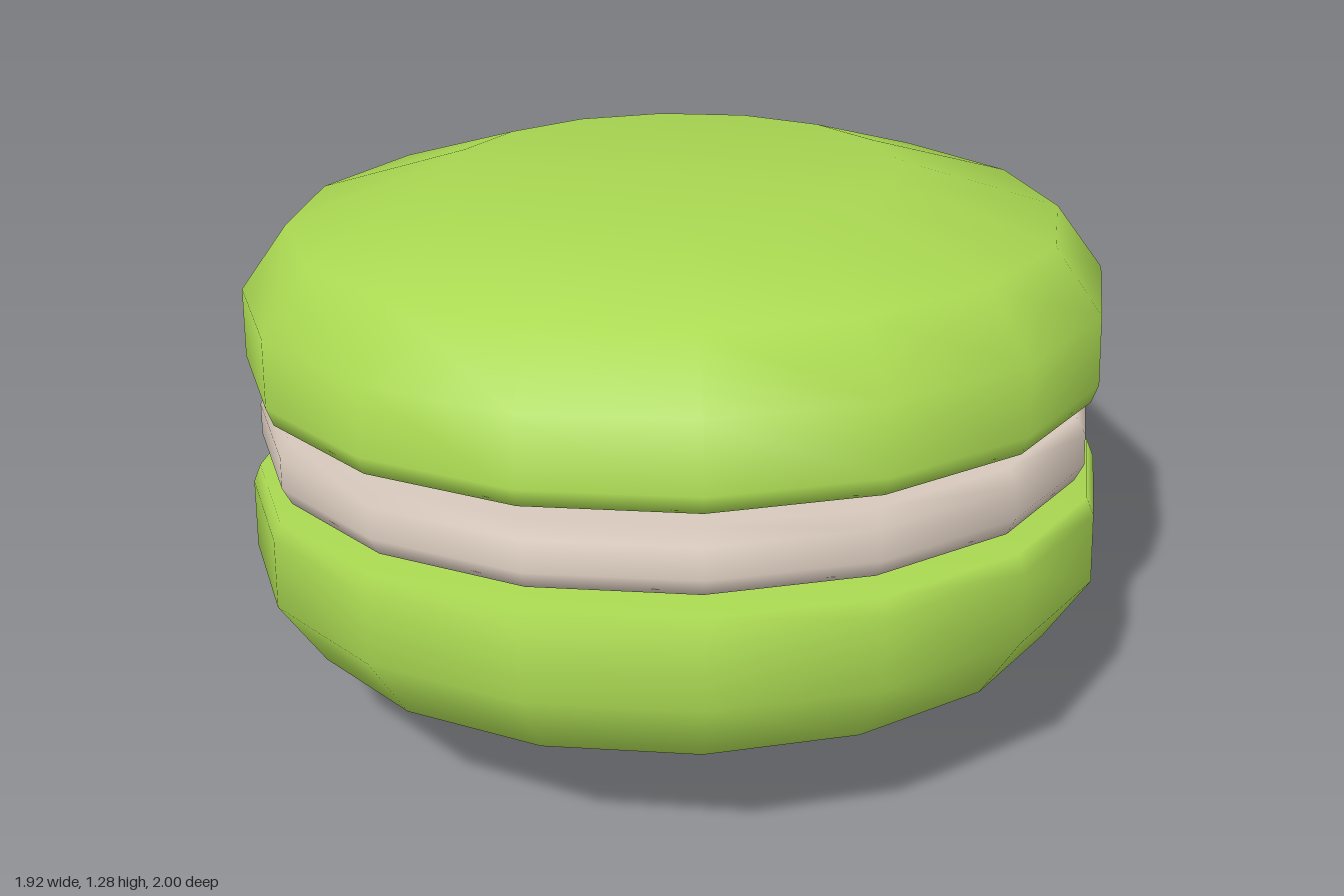
import * as THREE from 'three';

const SIDES = 16;

// Revolves a [radius, height] profile, listed from bottom to top
function revolve(profile, material, name) {
  const points = profile.map(([r, y]) => new THREE.Vector2(r, y));
  const mesh = new THREE.Mesh(new THREE.LatheGeometry(points, SIDES), material);
  mesh.name = name;
  return mesh;
}

export function createModel() {
  const shellGreen = new THREE.MeshStandardMaterial({ color: 0xacdb53 });
  shellGreen.name = 'shell green';
  const fillingCream = new THREE.MeshStandardMaterial({ color: 0xdccdc0 });
  fillingCream.name = 'filling cream';

  // Shell: slightly bulging underside, rounded rim, bevelled shoulder, flat crown
  const shellProfile = [
    [0, 0.07], [0.62, 0.085], [0.945, 0.11], [0.961, 0.15],
    [0.961, 0.305], [0.857, 0.45], [0.5, 0.563], [0, 0.563],
  ];
  const topShell = revolve(shellProfile, shellGreen, 'topShell');
  const bottomShell = revolve(shellProfile, shellGreen, 'bottomShell');
  bottomShell.rotation.x = Math.PI;

  // Cream disc between the shells
  const filling = revolve([
    [0, -0.075], [0.915, -0.073], [0.936, -0.035],
    [0.936, 0.035], [0.915, 0.073], [0, 0.075],
  ], fillingCream, 'filling');

  // The whole biscuit leans back, front edge raised
  const biscuit = new THREE.Group();
  biscuit.name = 'biscuit';
  biscuit.add(topShell, filling, bottomShell);
  biscuit.rotation.x = -THREE.MathUtils.degToRad(10);
  biscuit.position.y = 0.642;

  const model = new THREE.Group();
  model.name = 'macaron';
  model.add(biscuit);
  return model;
}
